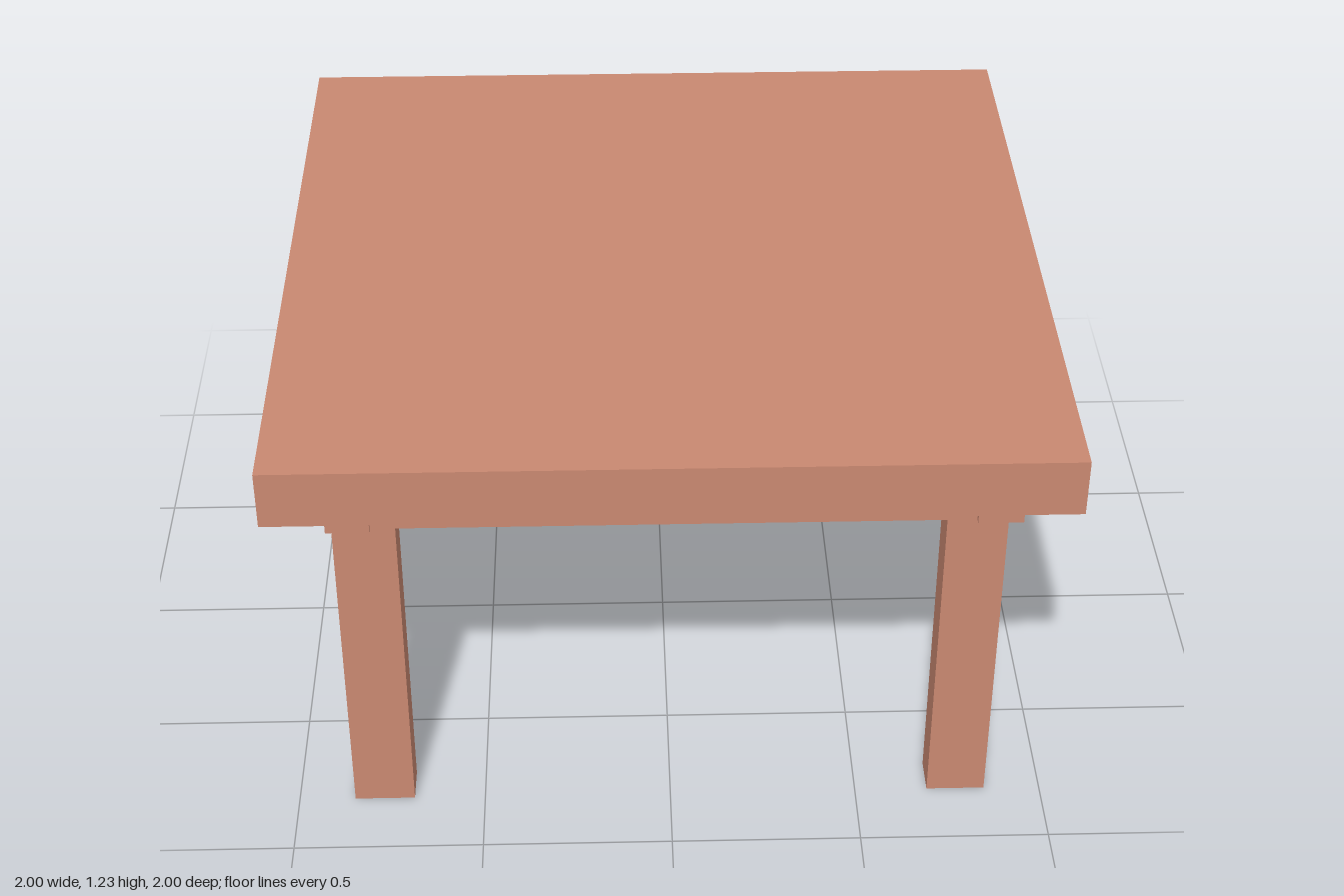
import * as THREE from 'three';

export function createModel() {
  const table = new THREE.Group();
  table.name = 'table';
  const wood = new THREE.MeshStandardMaterial({ color: 0xc98871 });
  wood.name = 'terracotta wood';

  // Box given by its extents along each axis
  function block(name, [x0, x1], [y0, y1], [z0, z1]) {
    const mesh = new THREE.Mesh(new THREE.BoxGeometry(x1 - x0, y1 - y0, z1 - z0), wood);
    mesh.position.set((x0 + x1) / 2, (y0 + y1) / 2, (z0 + z1) / 2);
    mesh.name = name;
    table.add(mesh);
  }

  // Thick square top
  block('tableTop', [-1, 1], [1.07, 1.225], [-1, 1]);

  // Apron: full-length side rails with front and back rails between them
  const rail = [0.94, 1.07];
  block('rightRail', [-0.86, -0.75], rail, [-0.86, 0.86]);
  block('leftRail', [0.765, 0.88], rail, [-0.86, 0.86]);
  block('frontRail', [-0.75, 0.765], rail, [0.73, 0.845]);
  block('backRail', [-0.75, 0.765], rail, [-0.855, -0.745]);

  // Legs run up inside the apron to the top
  for (const [side, x] of [['Right', [-0.85, -0.69]], ['Left', [0.695, 0.85]]]) {
    block('front' + side + 'Leg', x, [0, 1.07], [0.715, 0.815]);
    block('back' + side + 'Leg', x, [0, 1.07], [-0.805, -0.7]);
  }
  return table;
}
